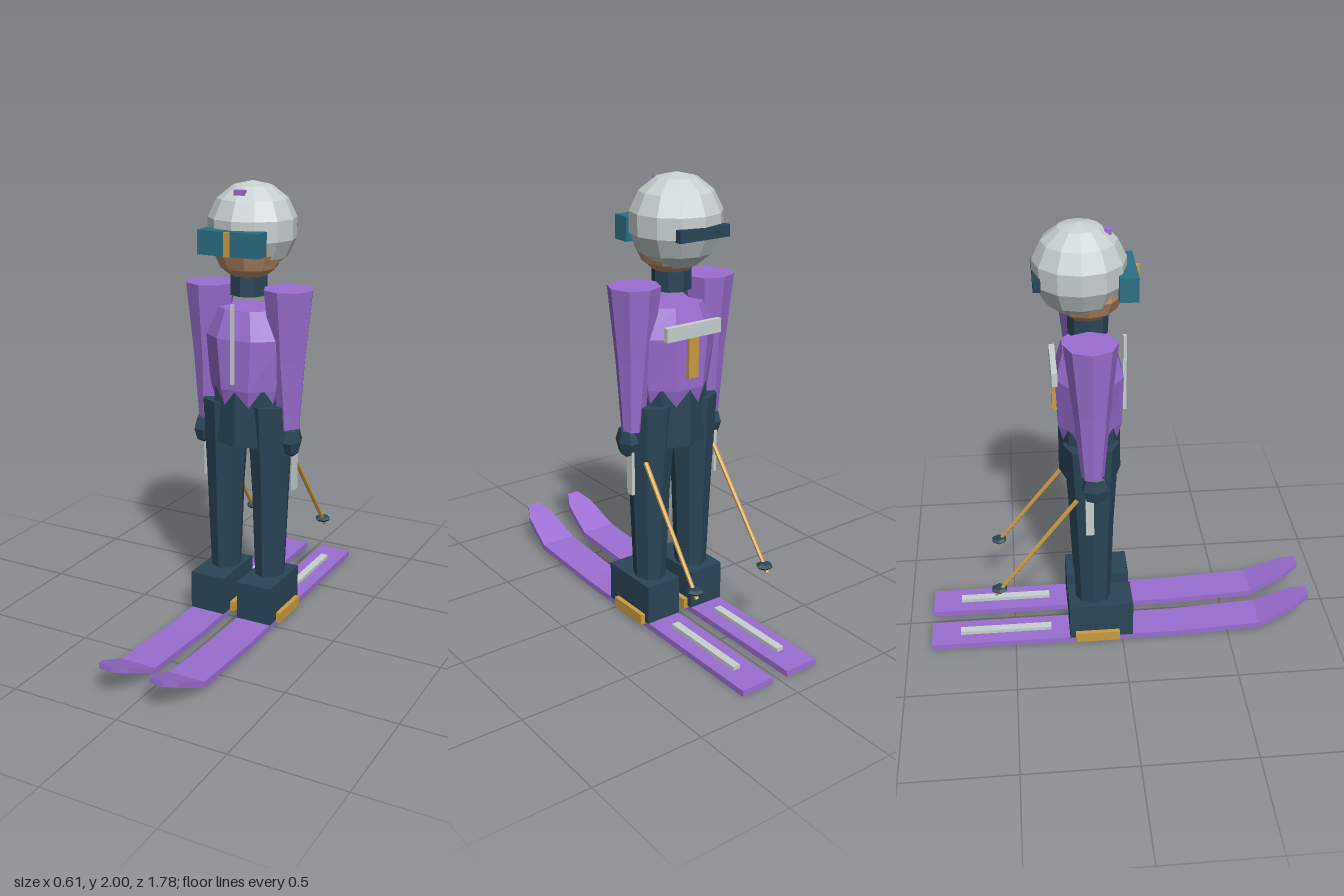
import * as THREE from 'three';

const mat = (name, color) => {
  const m = new THREE.MeshStandardMaterial({ color });
  m.name = name;
  m.flatShading = true;
  return m;
};

export function createModel() {
  const purple = mat('purple', 0x9a6fd2);
  const navy = mat('navy', 0x2a4557);
  const grey = mat('lightGrey', 0xc8d0d0);
  const gold = mat('gold', 0xcc9c42);
  const teal = mat('teal', 0x2c7085);
  const skin = mat('skin', 0xc69670);

  const root = new THREE.Group();
  root.name = 'skier';
  const AXIS_Z = -0.13; // body centre line

  const add = (name, geo, material, parent = root) => {
    const m = new THREE.Mesh(geo, material);
    m.name = name;
    parent.add(m);
    return m;
  };
  const box = (name, material, [w, h, d], [x, y, z], parent) => {
    const m = add(name, new THREE.BoxGeometry(w, h, d), material, parent);
    m.position.set(x, y, z);
    return m;
  };
  const ball = (name, material, r, ws, hs, [x, y, z], scale = [1, 1, 1], parent) => {
    const m = add(name, new THREE.SphereGeometry(r, ws, hs), material, parent);
    m.position.set(x, y, z);
    m.scale.set(...scale);
    return m;
  };

  // Closed solid through rings of points, lowest or rearmost ring first
  const loft = (rings) => {
    const n = rings[0].length, pos = rings.flat(2), idx = [];
    for (let k = 0; k < rings.length - 1; k++)
      for (let i = 0; i < n; i++) {
        const a = k * n + i, b = k * n + (i + 1) % n;
        idx.push(a, b, b + n, a, b + n, a + n);
      }
    const last = (rings.length - 1) * n;
    for (let i = 1; i < n - 1; i++) idx.push(0, i + 1, i, last, last + i, last + i + 1);
    const g = new THREE.BufferGeometry();
    g.setAttribute('position', new THREE.Float32BufferAttribute(pos, 3));
    g.setIndex(idx);
    const flat = g.toNonIndexed();
    flat.computeVertexNormals();
    return flat;
  };
  // Horizontal eight-sided ring; turn rotates its corners
  const ring = (x, y, rx, rz, turn = 0) =>
    Array.from({ length: 8 }, (_, i) => {
      const a = turn - (i * Math.PI) / 4;
      return [x + rx * Math.cos(a), y, AXIS_Z + rz * Math.sin(a)];
    });

  // Torso, hips and neck
  const T = Math.PI / 8;
  add('torso', loft([
    ring(0, 0.97, 0.14, 0.112, T), ring(0, 1.1, 0.175, 0.149, T),
    ring(0, 1.33, 0.216, 0.157, T), ring(0, 1.455, 0.157, 0.119, T),
  ]), purple);
  add('hips', loft([ring(0, 0.84, 0.18, 0.138), ring(0, 1.1, 0.17, 0.136)]), navy);
  const neck = add('neck', new THREE.CylinderGeometry(0.085, 0.085, 0.1, 8), navy);
  neck.position.set(0, 1.56, AXIS_Z);

  // Jacket details
  box('zip', grey, [0.015, 0.355, 0.015], [0, 1.312, 0.027]);
  box('backBand', grey, [0.28, 0.06, 0.025], [0, 1.362, -0.28]);
  box('backStripe', gold, [0.05, 0.185, 0.025], [0, 1.248, -0.277]);

  // Head, helmet and goggles
  ball('head', skin, 0.16, 10, 7, [0, 1.73, AXIS_Z]);
  ball('helmet', grey, 0.2, 12, 7, [0, 1.8, -0.16]);
  box('helmetVent', purple, [0.05, 0.022, 0.03], [0, 1.958, -0.045]);
  box('goggles', teal, [0.29, 0.105, 0.08], [0, 1.755, 0.031]);
  box('goggleStripe', gold, [0.022, 0.105, 0.015], [0, 1.755, 0.078]);
  box('goggleStrap', navy, [0.25, 0.05, 0.032], [0, 1.777, -0.339]);

  // Ski cross-sections: z, underside height, half width
  const skiRows = [
    [-0.89, 0, 0.08], [0.25, 0, 0.083], [0.65, 0.02, 0.085],
    [0.82, 0.1, 0.065], [0.89, 0.132, 0.03],
  ];

  for (const s of [1, -1]) {
    const side = new THREE.Group();
    side.name = s > 0 ? 'leftSide' : 'rightSide';
    root.add(side);

    // Arm and hand
    add('upperArm', loft([ring(s * 0.195, 1.23, 0.078, 0.079), ring(s * 0.192, 1.55, 0.113, 0.115)]), purple, side);
    add('forearm', loft([ring(s * 0.205, 0.92, 0.045, 0.05), ring(s * 0.195, 1.23, 0.078, 0.079)]), purple, side);
    ball('glove', navy, 0.075, 6, 4, [s * 0.225, 0.868, -0.12], [0.55, 1, 0.88], side);

    // Leg and boot
    add('thigh', loft([ring(s * 0.115, 0.62, 0.085, 0.096), ring(s * 0.11, 1.03, 0.107, 0.122)]), navy, side);
    add('shin', loft([ring(s * 0.115, 0.19, 0.068, 0.08), ring(s * 0.115, 0.62, 0.085, 0.096)]), navy, side);
    box('boot', navy, [0.17, 0.18, 0.295], [s * 0.12, 0.116, -0.098], side);

    // Ski, binding and tail plate
    const ski = add('ski', loft(skiRows.map(([z, y, w]) => [
      [-w, y, z], [w, y, z], [w, y + 0.027, z], [-w, y + 0.027, z],
    ])), purple, side);
    ski.position.x = s * 0.12;
    box('binding', gold, [0.212, 0.048, 0.205], [s * 0.12, 0.04, -0.117], side);
    box('tailPlate', grey, [0.036, 0.02, 0.425], [s * 0.12, 0.034, -0.543], side);

    // Pole with grip and basket
    box('poleGrip', grey, [0.015, 0.2, 0.036], [s * 0.225, 0.73, -0.147], side);
    const top = new THREE.Vector3(s * 0.185, 0.785, -0.2);
    const tip = new THREE.Vector3(s * 0.194, 0.3, -0.577);
    const dir = top.clone().sub(tip);
    const pole = add('pole', new THREE.CylinderGeometry(0.011, 0.009, dir.length(), 6), gold, side);
    pole.position.copy(top).add(tip).multiplyScalar(0.5);
    pole.quaternion.setFromUnitVectors(new THREE.Vector3(0, 1, 0), dir.normalize());
    ball('poleBasket', navy, 0.038, 6, 4, [s * 0.19, 0.33, -0.56], [1, 0.4, 1], side);
  }
  return root;
}
